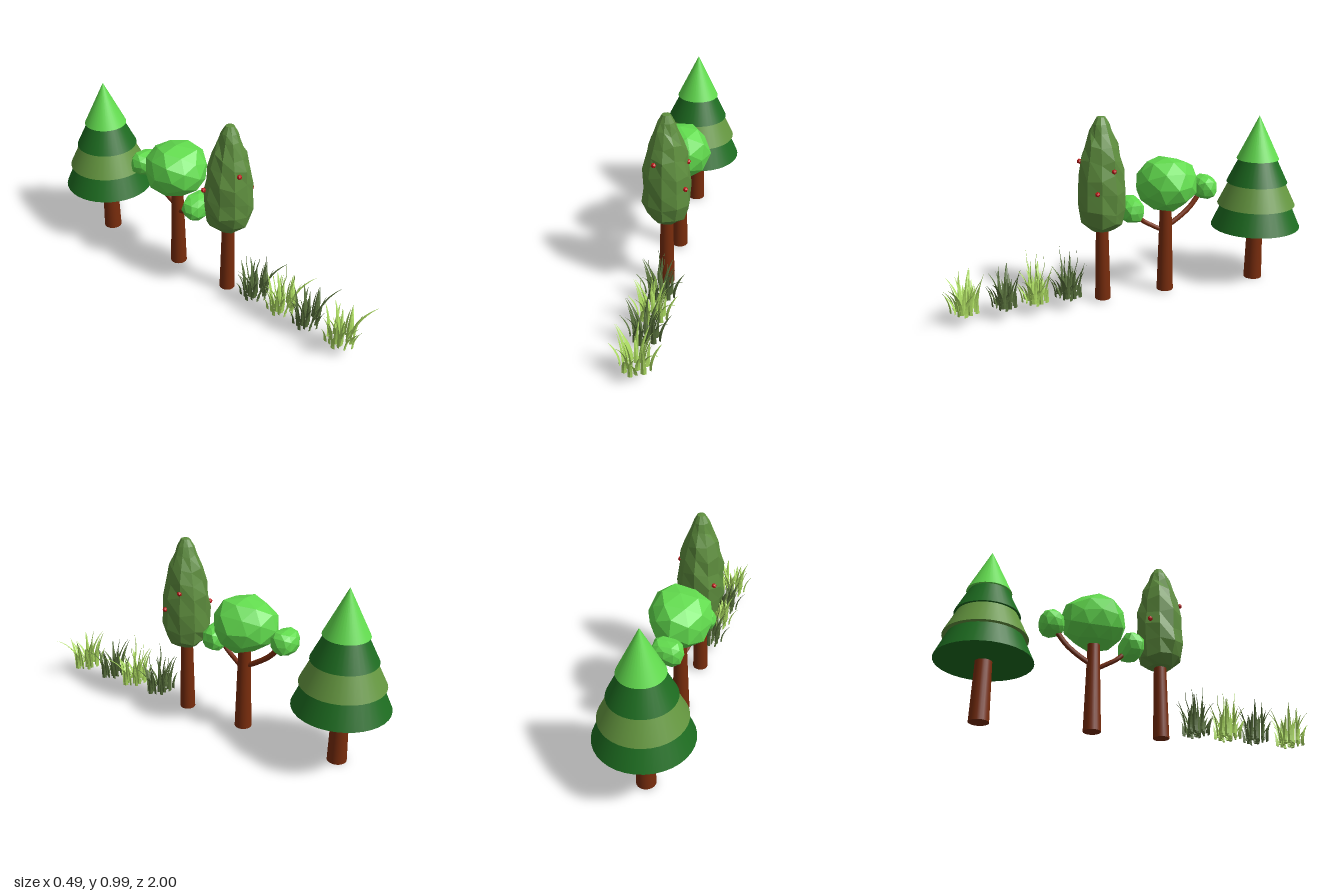
import * as THREE from 'three';
import { mergeGeometries } from 'three/addons/utils/BufferGeometryUtils.js';

const mat = (name, color) => {
  const m = new THREE.MeshStandardMaterial({ color });
  m.name = name;
  return m;
};

// Small seeded generator
function seeded(seed) {
  return () => {
    seed = (seed * 16807) % 2147483647;
    return seed / 2147483647;
  };
}

// Move every vertex by a rule
function reshape(geo, rule) {
  const pos = geo.attributes.position;
  const v = new THREE.Vector3();
  for (let i = 0; i < pos.count; i++) {
    rule(v.fromBufferAttribute(pos, i));
    pos.setXYZ(i, v.x, v.y, v.z);
  }
  return geo;
}

// Faceted normals
function facet(geo) {
  const g = geo.index ? geo.toNonIndexed() : geo;
  g.computeVertexNormals();
  return g;
}

export function createModel() {
  const root = new THREE.Group();
  const bark = mat('bark', 0x782c0c);
  const pineDark = mat('pineDark', 0x1d6c20);
  const pineOlive = mat('pineOlive', 0x64963f);
  const leafBright = mat('leafBright', 0x62dc4e);
  const leafOlive = mat('leafOlive', 0x5e8e3e);
  const berryRed = mat('berryRed', 0xbe1818);
  const grassLight = mat('grassLight', 0xaede62);
  const grassDark = mat('grassDark', 0x58713c);

  const add = (parent, name, geo, material, x = 0, y = 0, z = 0) => {
    const m = new THREE.Mesh(geo, material);
    m.name = name;
    m.position.set(x, y, z);
    parent.add(m);
    return m;
  };
  const tree = (name, z) => {
    const g = new THREE.Group();
    g.name = name;
    g.position.z = z;
    root.add(g);
    return g;
  };
  const trunk = (parent, y0, y1, rTop, rBottom) =>
    add(parent, 'trunk', new THREE.CylinderGeometry(rTop, rBottom, y1 - y0, 20), bark, 0, (y0 + y1) / 2, 0);

  // Tiered pine
  const pine = tree('pineTree', -0.755);
  trunk(pine, 0, 0.33, 0.042, 0.05);
  [
    [0.31, 0.44, 0.245, 0.187, pineDark],
    [0.435, 0.565, 0.213, 0.15, pineOlive],
    [0.56, 0.695, 0.166, 0.1, pineDark],
    [0.69, 0.927, 0.115, 0, leafBright],
  ].forEach(([y0, y1, rb, rt, m], i) =>
    add(pine, 'pineTier' + (i + 1), new THREE.CylinderGeometry(rt, rb, y1 - y0, 36), m, 0, (y0 + y1) / 2, 0));

  // Branching tree with three leafy clumps
  const round = tree('roundTree', -0.205);
  trunk(round, 0.012, 0.52, 0.03, 0.045);
  const swell = (a, p) => Math.sign(a) * Math.abs(a) ** p;
  const leafClump = (name, power, seed, [x, y, z], [rx, ry, rz]) => {
    const geo = reshape(new THREE.IcosahedronGeometry(1, 1), (v) => {
      const k = 1 + 0.06 * Math.sin(v.x * 7 + v.y * 11 + v.z * 5 + seed);
      v.set(swell(v.x, power), swell(v.y, power), swell(v.z, power)).multiplyScalar(k);
      v.y = THREE.MathUtils.clamp(v.y, -0.9, 0.97);
      v.set(v.x * rx, v.y * ry, v.z * rz);
    });
    add(round, name, facet(geo), leafBright, x, y, z);
  };
  leafClump('mainCrown', 0.93, 1, [-0.003, 0.606, 0], [0.16, 0.144, 0.172]);
  leafClump('backCrown', 0.75, 2, [-0.01, 0.562, -0.228], [0.08, 0.063, 0.066]);
  leafClump('frontCrown', 0.8, 4, [-0.035, 0.475, 0.187], [0.1, 0.07, 0.058]);
  const branch = (name, points, r) => {
    const curve = new THREE.CatmullRomCurve3(points.map((p) => new THREE.Vector3(...p)));
    add(round, name, new THREE.TubeGeometry(curve, 10, r, 8), bark);
  };
  branch('backBranch', [[0, 0.365, 0], [0, 0.405, -0.07], [-0.005, 0.46, -0.145], [-0.01, 0.54, -0.21]], 0.014);
  branch('frontBranch', [[0, 0.34, 0], [-0.02, 0.37, 0.06], [-0.035, 0.405, 0.12], [-0.035, 0.46, 0.17]], 0.012);

  // Tall tree with a slim faceted crown and berries
  const tall = tree('tallTree', 0.155);
  trunk(tall, 0.015, 0.46, 0.031, 0.041);
  const profile = [
    [0, 0.393], [0.06, 0.4], [0.105, 0.44], [0.122, 0.51], [0.121, 0.6], [0.115, 0.69],
    [0.102, 0.77], [0.085, 0.84], [0.058, 0.9], [0.041, 0.95], [0.022, 0.985], [0, 0.989],
  ].map(([x, y]) => new THREE.Vector2(x, y));
  const crown = reshape(new THREE.LatheGeometry(profile, 10), (v) => {
    const k = 1 + 0.05 * Math.sin(v.x * 61 + v.y * 37 + v.z * 47);
    const dy = v.y > 0.42 && v.y < 0.93 ? 0.014 * Math.sin(v.x * 43 - v.z * 59 + v.y * 20) : 0;
    v.set(v.x * k, v.y + dy, v.z * k * 1.04);
  });
  add(tall, 'tallCrown', facet(crown), leafOlive);
  [[-0.043, 0.758, 0.102], [0.106, 0.618, 0.06], [0.102, 0.725, -0.03], [-0.095, 0.63, -0.085]].forEach((p) =>
    add(tall, 'berry', facet(new THREE.IcosahedronGeometry(0.014, 0)), berryRed, ...p));

  // One bent, tapering blade of grass
  function blade(x, z, angle, height, lean, width, wave = 0) {
    const geo = reshape(new THREE.CylinderGeometry(0, width, 1, 4, 7), (v) => {
      const t = v.y + 0.5;
      const fat = 1 + 0.9 * t;
      v.set(
        v.x * fat * 0.4 + lean * t * t + wave * Math.sin(t * 11),
        height * (t - 0.12 * t * t * t * (lean / 0.1)),
        v.z * fat + wave * 0.6 * Math.cos(t * 9),
      );
    });
    geo.rotateY(-angle);
    geo.translate(x, 0, z);
    return facet(geo);
  }

  // Clumps of grass: long blades, a broad tuft, and thin wavy stalks on some
  function grassClump(name, material, z, scale, seed, stalks) {
    const rnd = seeded(seed);
    const blades = [
      blade(0.045, 0.03, 0.72, 0.205, 0.13, 0.013),
      blade(-0.02, -0.01, 3.6, 0.205, 0.085, 0.013),
      blade(0.02, -0.03, -1.0, 0.19, 0.07, 0.012),
      blade(-0.03, 0.02, 2.2, 0.17, 0.075, 0.012),
    ];
    for (let i = 0; i < 22; i++) {
      const a = i * 2.4;
      const r = 0.078 * Math.sqrt((i + 0.5) / 22);
      const h = 0.08 + 0.11 * rnd();
      const lean = 0.015 + 0.05 * rnd();
      blades.push(blade(r * Math.cos(a), r * Math.sin(a), a + (rnd() - 0.5) * 1.8, h, lean, 0.01 + 0.004 * rnd()));
    }
    if (stalks) {
      [[-0.03, 0.02, 2.6, 0.275], [0.01, -0.01, 0.4, 0.275], [0.03, 0.03, 0.2, 0.255], [-0.01, -0.04, 4.6, 0.25]]
        .forEach(([x, sz, a, h]) => blades.push(blade(x, sz, a, h, 0.025, 0.006, 0.006)));
    }
    const m = add(root, name, mergeGeometries(blades), material, 0, 0.06, z);
    m.scale.set(1, scale[0], scale[1]);
  }
  grassClump('grassClump1', grassLight, 0.882, [1.06, 0.98], 11, false);
  grassClump('grassClump2', grassDark, 0.682, [1.06, 0.85], 11, false);
  grassClump('grassClump3', grassLight, 0.522, [1, 0.93], 11, true);
  grassClump('grassClump4', grassDark, 0.345, [1, 0.93], 11, true);

  return root;
}
